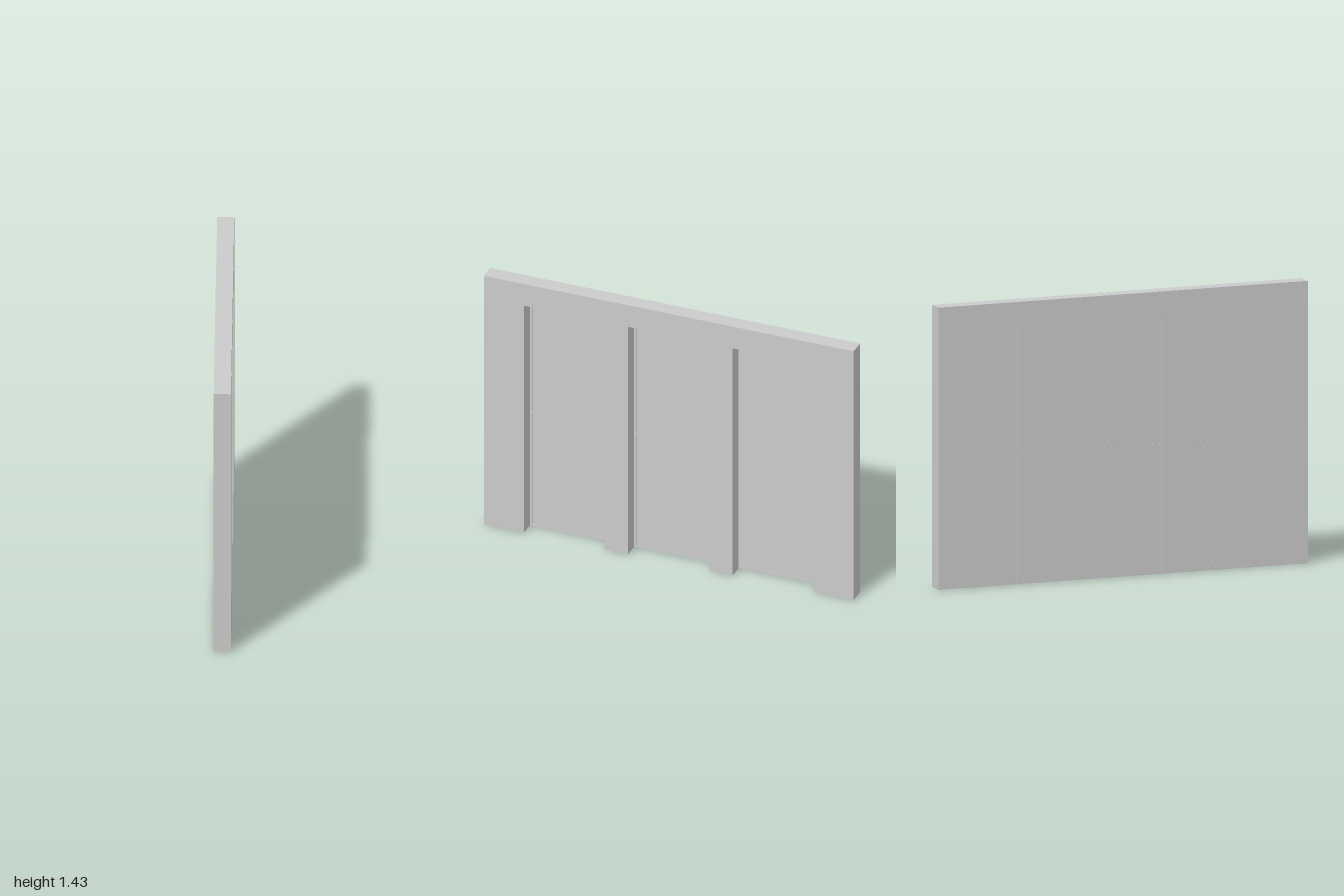
import * as THREE from 'three';

const H = 1.435, T = 0.086;          // wall height and thickness
const OPEN_W = 0.438, OPEN_H = 1.31; // window openings
const CENTRES = [-0.565, 0, 0.565];
const BAR = 0.013, FRAME_T = 0.007, PANE_T = 0.004;

const material = new THREE.MeshStandardMaterial({ color: 0xcccccc, flatShading: true, side: THREE.DoubleSide });

// Extrude a (z, y) outline along x, centred on x = 0
function extrudeAlongX(shape, depth) {
  const g = new THREE.ExtrudeGeometry(shape, { depth, bevelEnabled: false });
  return g.translate(0, 0, -depth / 2).rotateY(-Math.PI / 2);
}

// Drop the triangles lying on the floor, leaving the shell open underneath
function openBottom(geometry) {
  const p = geometry.getAttribute('position'), kept = [];
  for (let i = 0; i < p.count; i += 3) {
    if ([0, 1, 2].every(k => Math.abs(p.getY(i + k)) < 1e-5)) continue;
    for (let k = 0; k < 3; k++) kept.push(p.getX(i + k), p.getY(i + k), p.getZ(i + k));
  }
  const g = new THREE.BufferGeometry();
  g.setAttribute('position', new THREE.Float32BufferAttribute(kept, 3));
  g.computeVertexNormals();
  return g;
}

function rectPath(z0, y0, z1, y1, PathType = THREE.Path) {
  const path = new PathType();
  path.moveTo(z0, y0);
  path.lineTo(z1, y0);
  path.lineTo(z1, y1);
  path.lineTo(z0, y1);
  path.closePath();
  return path;
}

function addMesh(parent, name, geometry) {
  const mesh = new THREE.Mesh(geometry, material);
  mesh.name = name;
  parent.add(mesh);
  return mesh;
}

// Comb-shaped wall: piers between openings that reach the floor
function wallShape() {
  const s = new THREE.Shape();
  s.moveTo(-1, 0);
  for (const c of CENTRES) {
    s.lineTo(c - OPEN_W / 2, 0);
    s.lineTo(c - OPEN_W / 2, OPEN_H);
    s.lineTo(c + OPEN_W / 2, OPEN_H);
    s.lineTo(c + OPEN_W / 2, 0);
  }
  s.lineTo(1, 0);
  s.lineTo(1, H);
  s.lineTo(-1, H);
  s.closePath();
  return s;
}

// Four-light window: thin frame with slightly sunken panes
function createWindow() {
  const win = new THREE.Group();
  win.name = 'window';
  const frame = rectPath(-OPEN_W / 2, 0, OPEN_W / 2, OPEN_H, THREE.Shape);
  const paneW = (OPEN_W - 3 * BAR) / 2, paneH = (OPEN_H - 3 * BAR) / 2;
  for (const col of [0, 1]) {
    for (const row of [0, 1]) {
      const z = -OPEN_W / 2 + BAR + col * (paneW + BAR);
      const y = BAR + row * (paneH + BAR);
      frame.holes.push(rectPath(z, y, z + paneW, y + paneH));
      addMesh(win, 'pane', new THREE.BoxGeometry(PANE_T, paneH, paneW))
        .position.set(0, y + paneH / 2, z + paneW / 2);
    }
  }
  addMesh(win, 'windowFrame', extrudeAlongX(frame, FRAME_T));
  return win;
}

export function createModel() {
  const model = new THREE.Group();
  model.name = 'windowWall';
  addMesh(model, 'wall', openBottom(extrudeAlongX(wallShape(), T)));
  // Windows sit flush with the -x face, leaving deep reveals on the +x side
  for (const c of CENTRES) {
    const win = createWindow();
    win.position.set(-T / 2 + FRAME_T / 2, 0, c);
    model.add(win);
  }
  return model;
}
